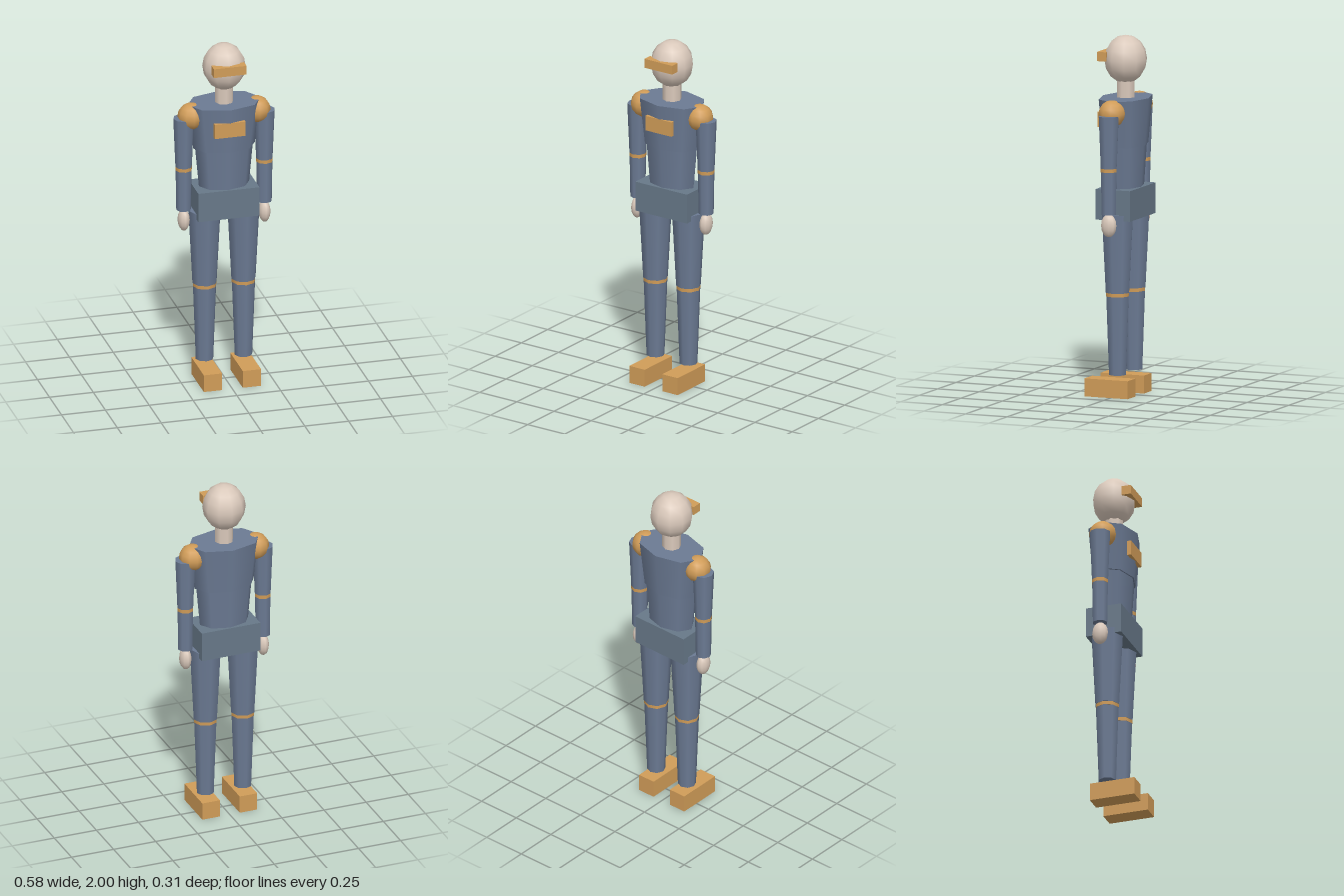
import * as THREE from 'three';

const mat = (name, color) => new THREE.MeshStandardMaterial({ name, color });

export function createModel() {
  const model = new THREE.Group();
  model.name = 'figure';
  const suit = mat('suit blue', 0x6b7a93);
  const belt = mat('hip blue grey', 0x677888);
  const gold = mat('gold', 0xd09c58);
  const skin = mat('skin', 0xdac9bb);
  const Z = -0.02; // body axis

  const add = (name, geometry, material, x, y, z) => {
    const mesh = new THREE.Mesh(geometry, material);
    mesh.name = name;
    mesh.position.set(x, y, z);
    model.add(mesh);
    return mesh;
  };
  // Box given by its centre and size
  const box = (name, material, x, y, z, w, h, d) =>
    add(name, new THREE.BoxGeometry(w, h, d), material, x, y, z);
  // Eight-sided tapered limb between two heights, stretched in x by sx
  const taper = (name, material, x, y0, y1, r0, r1, sx = 1) => {
    const mesh = add(name, new THREE.CylinderGeometry(r1, r0, y1 - y0, 8), material, x, (y0 + y1) / 2, Z);
    mesh.scale.x = sx;
    return mesh;
  };
  // Ten-sided ball with corners facing front and back
  const ball = (name, material, x, y, rx, ry, rz) => {
    const geometry = new THREE.SphereGeometry(1, 10, 8).rotateY(Math.PI / 2).scale(rx, ry, rz);
    return add(name, geometry, material, x, y, Z);
  };

  // Head and neck
  ball('head', skin, 0, 1.866, 0.12, 0.134, 0.12);
  box('visor', gold, 0, 1.884, 0.084, 0.186, 0.052, 0.053);
  taper('neck', skin, 0, 1.64, 1.76, 0.052, 0.052);

  // Torso
  taper('chest', suit, 0, 1.39, 1.655, 0.115, 0.137, 1.53);
  taper('waist', suit, 0, 1.15, 1.395, 0.093, 0.108, 1.53);
  box('pelvis', belt, 0, 1.075, Z, 0.348, 0.17, 0.206);
  box('chestPlate', gold, 0, 1.533, 0.099, 0.176, 0.085, 0.022);

  // Arms and legs, mirrored
  for (const [side, s] of [['left', 1], ['right', -1]]) {
    const arm = s * 0.23, leg = s * 0.111;
    ball(side + 'Shoulder', gold, s * 0.187, 1.587, 0.076, 0.075, 0.076);
    taper(side + 'UpperArm', suit, arm, 1.29, 1.58, 0.047, 0.059);
    taper(side + 'ElbowBand', gold, arm, 1.27, 1.29, 0.047, 0.047);
    taper(side + 'Forearm', suit, arm, 1.032, 1.27, 0.042, 0.046);
    ball(side + 'Hand', skin, arm, 0.97, 0.033, 0.064, 0.046);
    taper(side + 'Thigh', suit, leg, 0.583, 1.02, 0.069, 0.092);
    taper(side + 'KneeBand', gold, leg, 0.563, 0.583, 0.067, 0.067);
    taper(side + 'Shin', suit, leg, 0.125, 0.563, 0.05, 0.066);
    box(side + 'Foot', gold, leg, 0.05, 0.026, 0.104, 0.1, 0.26);
  }
  return model;
}
